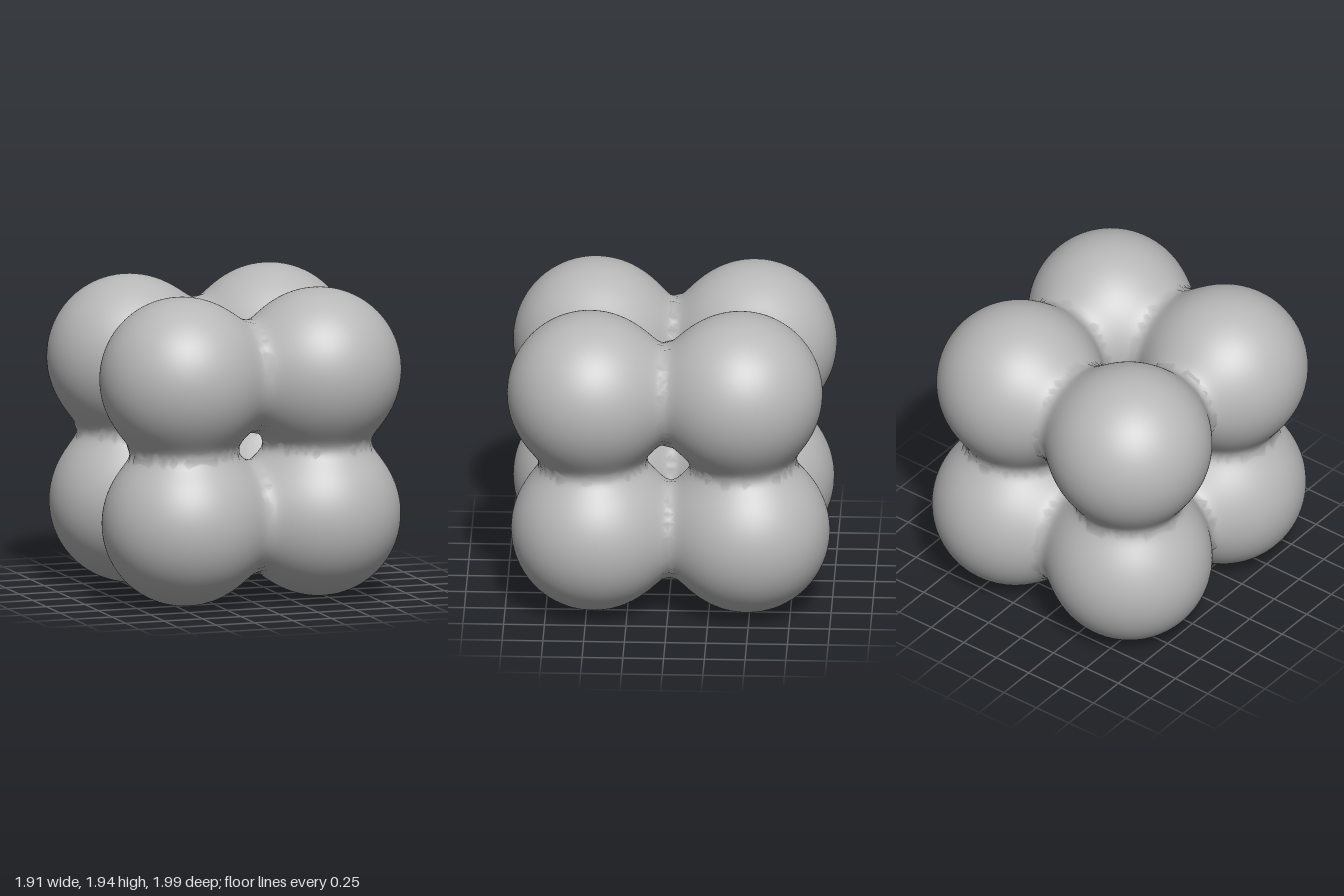
import * as THREE from 'three';
import { mergeVertices } from 'three/addons/utils/BufferGeometryUtils.js';

const RADIUS = 0.505; // size of each lobe
const POWER = 7.5;    // higher = tighter necks between lobes
const REACH = 0.62;   // rays longer than this run into a neighbouring lobe

// Lobe centres: a slightly irregular 2 x 2 x 2 cluster
const centres = {
  upperFrontRight: [-0.45, 1.41, 0.48],
  upperFrontLeft: [0.44, 1.425, 0.485],
  upperBackRight: [-0.45, 1.405, -0.495],
  upperBackLeft: [0.445, 1.435, -0.44],
  lowerFrontRight: [-0.435, 0.51, 0.48],
  lowerFrontLeft: [0.445, 0.525, 0.46],
  lowerBackRight: [-0.44, 0.51, -0.48],
  lowerBackLeft: [0.445, 0.525, -0.485],
};
const points = Object.values(centres).map((c) => new THREE.Vector3(...c));

// Blended field: above 1 inside the fused body
function field(p) {
  let sum = 0;
  for (const c of points) sum += Math.pow(p.distanceToSquared(c) / (RADIUS * RADIUS), -POWER / 2);
  return sum;
}

// Outward surface normal of the blended field
function fieldNormal(p) {
  const n = new THREE.Vector3();
  for (const c of points) {
    const d = p.clone().sub(c);
    n.addScaledVector(d, Math.pow(d.lengthSq() / (RADIUS * RADIUS), -POWER / 2 - 1));
  }
  return n.normalize();
}

// Ball whose vertices are pushed out to the blended surface; open where it joins its neighbours
function lobeGeometry(centre) {
  const ball = new THREE.IcosahedronGeometry(1, 20);
  ball.deleteAttribute('uv');
  ball.deleteAttribute('normal');
  const geo = mergeVertices(ball, 1e-4);
  const pos = geo.attributes.position;
  const normals = new Float32Array(pos.count * 3);
  const joined = [];
  const dir = new THREE.Vector3();
  const p = new THREE.Vector3();
  const at = (t) => p.copy(centre).addScaledVector(dir, t);

  for (let i = 0; i < pos.count; i++) {
    dir.fromBufferAttribute(pos, i).normalize();
    let t = 0.44;
    while (t < REACH && field(at(t)) > 1) t += 0.01;
    joined[i] = t >= REACH;
    if (!joined[i]) {
      let lo = t - 0.01;
      let hi = t;
      for (let k = 0; k < 9; k++) {
        const mid = (lo + hi) / 2;
        if (field(at(mid)) > 1) lo = mid;
        else hi = mid;
      }
      t = (lo + hi) / 2;
    }
    at(t);
    pos.setXYZ(i, p.x, p.y, p.z);
    fieldNormal(p).toArray(normals, i * 3);
  }
  geo.setAttribute('normal', new THREE.BufferAttribute(normals, 3));

  // Leave out the hidden faces inside the necks
  const kept = [];
  const index = geo.index.array;
  for (let i = 0; i < index.length; i += 3) {
    const tri = [index[i], index[i + 1], index[i + 2]];
    if (!tri.every((v) => joined[v])) kept.push(...tri);
  }
  geo.setIndex(kept);
  return geo;
}

export function createModel() {
  const model = new THREE.Group();
  model.name = 'lobedCluster';
  const grey = new THREE.MeshStandardMaterial({ color: 0xb8b8b8 });
  grey.name = 'grey';
  Object.keys(centres).forEach((name, i) => {
    const lobe = new THREE.Mesh(lobeGeometry(points[i]), grey);
    lobe.name = `${name}Lobe`;
    model.add(lobe);
  });
  return model;
}
